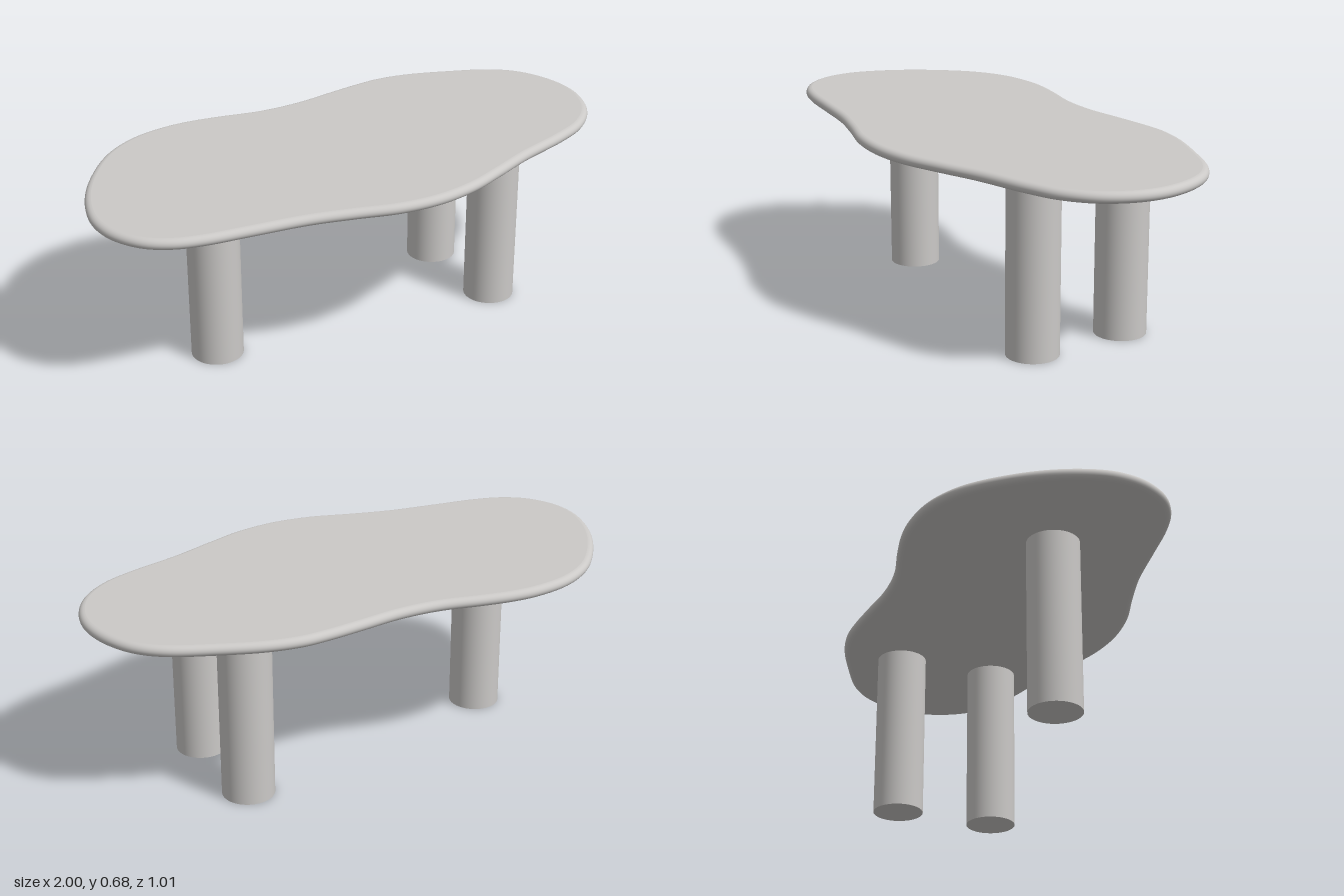
import * as THREE from 'three';

// Free-form outline of the top, as x, z pairs, counter-clockwise from above
const OUTLINE = [
  [-0.46, -0.51], [-0.6, -0.49], [-0.73, -0.425], [-0.85, -0.305], [-0.94, -0.17], [-0.99, -0.04],
  [-1, 0.04], [-0.985, 0.13], [-0.93, 0.225], [-0.85, 0.285], [-0.75, 0.32], [-0.6, 0.348],
  [-0.4, 0.385], [-0.25, 0.43], [-0.1, 0.48], [0.05, 0.5], [0.2, 0.485], [0.35, 0.44],
  [0.5, 0.39], [0.7, 0.34], [0.82, 0.295], [0.92, 0.215], [0.98, 0.11], [1, 0],
  [0.98, -0.12], [0.93, -0.22], [0.85, -0.295], [0.7, -0.37], [0.55, -0.43], [0.43, -0.455],
  [0.33, -0.455], [0.2, -0.445], [0.05, -0.432], [-0.1, -0.442], [-0.25, -0.48], [-0.36, -0.503],
];
const BOTTOM = 0.635, TOP = 0.675, EDGE = 0.022;
const SEGMENTS = 240, RINGS = 12;

// Ring of points around the top, moved inwards by inset at height y
function ring(curve, inset, y) {
  const points = [];
  for (let i = 0; i < SEGMENTS; i++) {
    const p = curve.getPointAt(i / SEGMENTS);
    const t = curve.getTangentAt(i / SEGMENTS);
    points.push(p.x + t.z * inset, y, p.z - t.x * inset);
  }
  return points;
}

// Rounded rim lofted through rings
function rimGeometry(curve) {
  const positions = [], index = [];
  const half = (TOP - BOTTOM) / 2;
  for (let j = 0; j <= RINGS; j++) {
    const a = -Math.PI / 2 + (j / RINGS) * Math.PI;
    positions.push(...ring(curve, EDGE * (1 - Math.cos(a)), BOTTOM + half + half * Math.sin(a)));
  }
  for (let j = 0; j < RINGS; j++) {
    for (let i = 0; i < SEGMENTS; i++) {
      const n = (i + 1) % SEGMENTS;
      const a = j * SEGMENTS + i, b = j * SEGMENTS + n;
      index.push(a, b, b + SEGMENTS, a, b + SEGMENTS, a + SEGMENTS);
    }
  }
  return build(positions, index);
}

// Flat face closing the rim, facing up or down
function faceGeometry(curve, y, up) {
  const positions = [...ring(curve, EDGE, y), 0, y, 0];
  const index = [];
  for (let i = 0; i < SEGMENTS; i++) {
    const n = (i + 1) % SEGMENTS;
    index.push(SEGMENTS, up ? i : n, up ? n : i);
  }
  return build(positions, index);
}

function build(positions, index) {
  const geometry = new THREE.BufferGeometry();
  geometry.setAttribute('position', new THREE.Float32BufferAttribute(positions, 3));
  geometry.setIndex(index);
  geometry.computeVertexNormals();
  return geometry;
}

export function createModel() {
  const model = new THREE.Group();
  model.name = 'table';
  const paleGrey = new THREE.MeshStandardMaterial({ color: 0xcbc9c7 });
  paleGrey.name = 'paleGrey';

  const add = (name, geometry, parent) => {
    const mesh = new THREE.Mesh(geometry, paleGrey);
    mesh.name = name;
    parent.add(mesh);
    return mesh;
  };

  // Table top
  const curve = new THREE.CatmullRomCurve3(
    OUTLINE.map(([x, z]) => new THREE.Vector3(x, 0, z)), true, 'centripetal');
  curve.arcLengthDivisions = 800;
  const tableTop = new THREE.Group();
  tableTop.name = 'tableTop';
  model.add(tableTop);
  add('rim', rimGeometry(curve), tableTop);
  add('topFace', faceGeometry(curve, TOP, true), tableTop);
  add('underside', faceGeometry(curve, BOTTOM, false), tableTop);

  // Three round legs
  const legGeometry = new THREE.CylinderGeometry(0.093, 0.093, BOTTOM, 64);
  const legs = [
    ['frontLeftLeg', 0.522, 0.172],
    ['backLeftLeg', 0.522, -0.202],
    ['rightLeg', -0.545, -0.015],
  ];
  for (const [name, x, z] of legs) {
    add(name, legGeometry, model).position.set(x, BOTTOM / 2, z);
  }
  return model;
}
